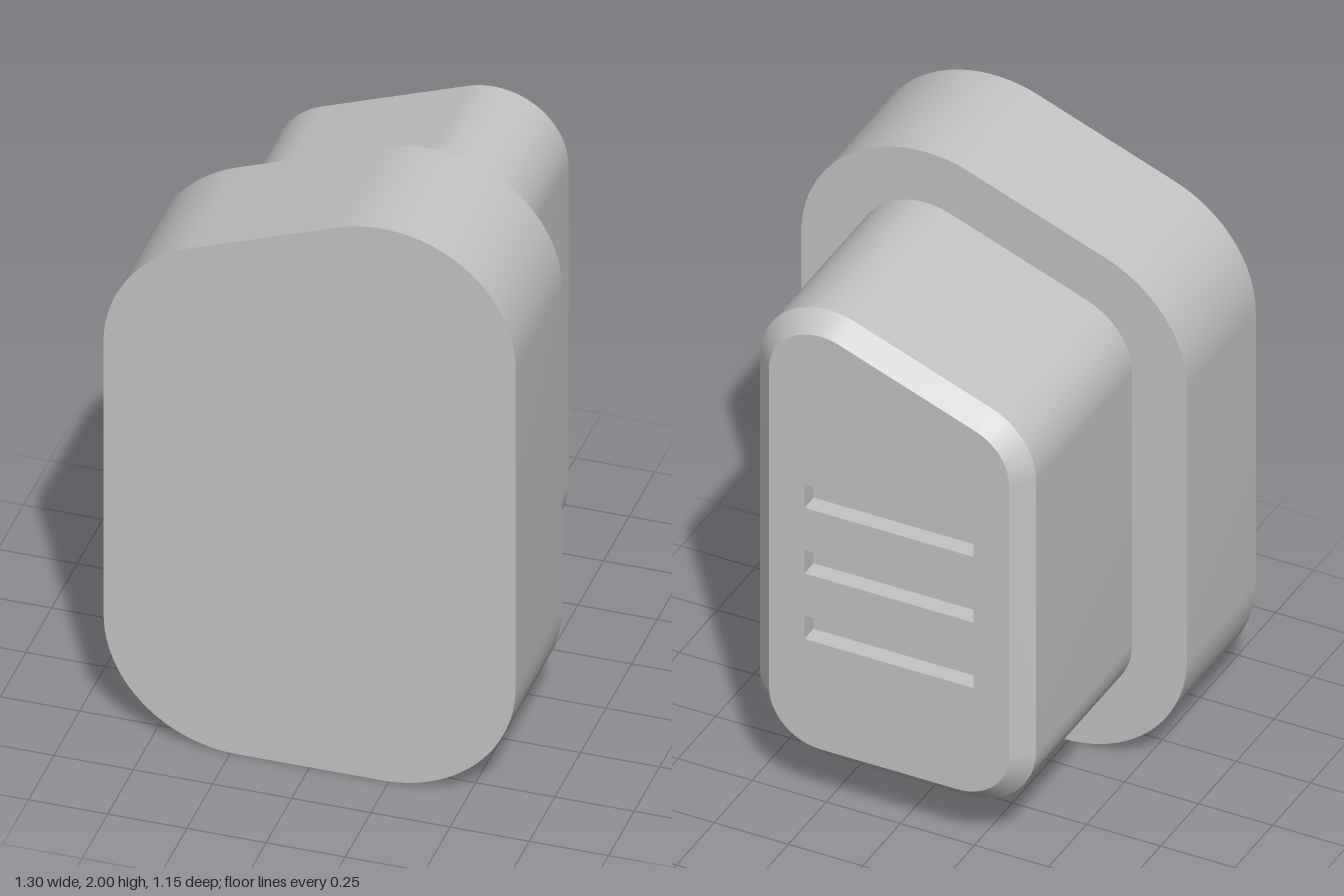
import * as THREE from 'three';
import { toCreasedNormals } from 'three/addons/utils/BufferGeometryUtils.js';

const SEGMENTS = 12;
const CREASE = 0.4;

// Rounded outline with a sloping top; the corner centres stay put, the radius sets the size
function outline(radius) {
  const slope = THREE.MathUtils.degToRad(110);
  const s = new THREE.Shape();
  s.absarc(-0.23, 0.42, radius, Math.PI, 1.5 * Math.PI);
  s.absarc(0.23, 0.42, radius, 1.5 * Math.PI, 2 * Math.PI);
  s.absarc(0.23, 1.58, radius, 0, slope);
  s.absarc(-0.23, 1.41, radius, slope, Math.PI);
  return s;
}

// Straight extrusion between two z planes
function slab(shape, zBack, zFront) {
  const g = new THREE.ExtrudeGeometry(shape, {
    depth: zFront - zBack, bevelEnabled: false, curveSegments: SEGMENTS,
  });
  g.translate(0, 0, zBack);
  return toCreasedNormals(g, CREASE);
}

// Sloping band joining a small outline at zBack to a large one at zFront
function band(small, zBack, large, zFront) {
  const b = small.getPoints(SEGMENTS);
  const a = large.getPoints(SEGMENTS);
  const pos = [];
  for (let i = 0; i < a.length; i++) {
    const j = (i + 1) % a.length;
    const b0 = [b[i].x, b[i].y, zBack], b1 = [b[j].x, b[j].y, zBack];
    const a0 = [a[i].x, a[i].y, zFront], a1 = [a[j].x, a[j].y, zFront];
    pos.push(...b0, ...b1, ...a1, ...b0, ...a1, ...a0);
  }
  const g = new THREE.BufferGeometry();
  g.setAttribute('position', new THREE.Float32BufferAttribute(pos, 3));
  return toCreasedNormals(g, CREASE);
}

export function createModel() {
  const group = new THREE.Group();
  const grey = new THREE.MeshStandardMaterial({ color: 0xc4c4c4 });
  grey.name = 'lightGrey';

  const add = (name, geometry) => {
    const mesh = new THREE.Mesh(geometry, grey);
    mesh.name = name;
    group.add(mesh);
  };

  // Wide front flange and the narrower plug behind it
  add('flange', slab(outline(0.42), 0.12, 0.575));
  add('plugBody', slab(outline(0.235), -0.515, 0.12));

  // Chamfer around the plug's rear edge
  add('plugChamfer', band(outline(0.175), -0.575, outline(0.235), -0.515));

  // Rear plate with three slots; the plug body forms the slot floors
  const plate = outline(0.175);
  for (const y of [0.675, 0.915, 1.155]) {
    const w = 0.285, h = 0.043;
    plate.holes.push(new THREE.Path([
      new THREE.Vector2(-w, y - h), new THREE.Vector2(-w, y + h),
      new THREE.Vector2(w, y + h), new THREE.Vector2(w, y - h),
      new THREE.Vector2(-w, y - h),
    ]));
  }
  add('slottedEndPlate', slab(plate, -0.575, -0.515));

  return group;
}
